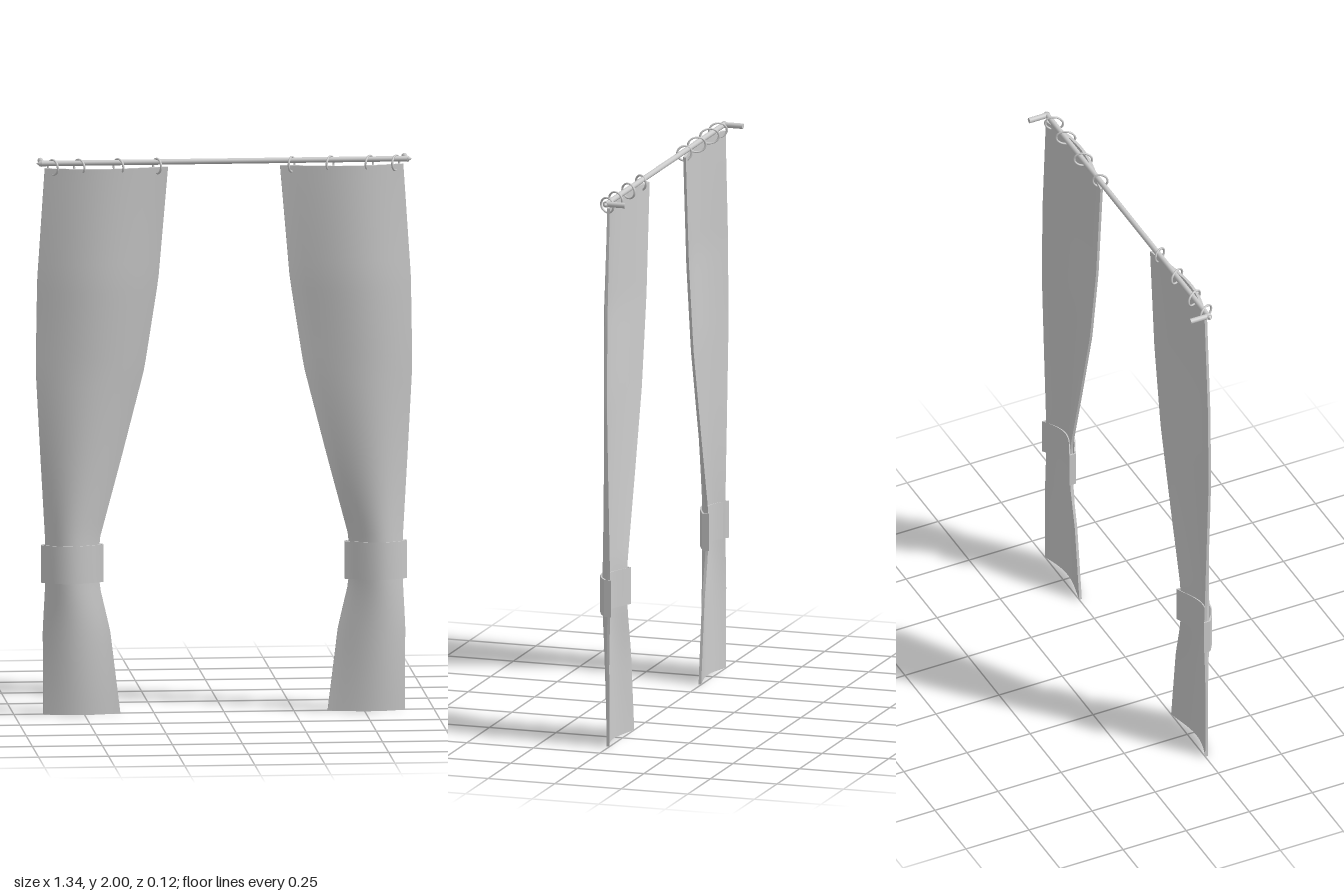
import * as THREE from 'three';
import { toCreasedNormals } from 'three/addons/utils/BufferGeometryUtils.js';

const grey = new THREE.MeshStandardMaterial({ color: 0xcccccc, side: THREE.DoubleSide });

// Drape outline: height, inner x, outer x, forward bow
const OUTLINE = [
  [0, 0.37, 0.645, 0.027], [0.3, 0.407, 0.647, 0.036], [0.47, 0.447, 0.638, 0.043],
  [0.62, 0.447, 0.638, 0.043], [0.92, 0.367, 0.655, 0.042], [1.24, 0.285, 0.672, 0.042],
  [1.56, 0.235, 0.667, 0.05], [1.965, 0.2, 0.64, 0.04],
];

function mesh(name, geometry, x = 0, y = 0, z = 0) {
  const m = new THREE.Mesh(geometry, grey);
  m.name = name;
  m.position.set(x, y, z);
  return m;
}

// Interpolated outline row at height y
function rowAt(y) {
  let i = 0;
  while (i < OUTLINE.length - 2 && y > OUTLINE[i + 1][0]) i++;
  const a = OUTLINE[i], b = OUTLINE[i + 1];
  const k = (y - a[0]) / (b[0] - a[0]);
  return a.map((v, j) => v + (b[j] - v) * k);
}

// Bow across the width, t = 0 at the inner edge and 1 at the outer edge
const bowAt = (t) => Math.sin(Math.PI * Math.pow(t, 1.15));

// Thin bowed cloth panel, shaped from a subdivided box
function drape(side) {
  const g = new THREE.BoxGeometry(1, 1, 1, 16, 40, 1);
  const p = g.attributes.position;
  for (let i = 0; i < p.count; i++) {
    const u = p.getX(i) + 0.5;
    const t = side > 0 ? u : 1 - u;
    const y = (p.getY(i) + 0.5) * 1.965;
    const [, inner, outer, bow] = rowAt(y);
    p.setXYZ(i, side * (inner + (outer - inner) * t), y, 0.005 + bow * bowAt(t) + p.getZ(i) * 0.01);
  }
  g.computeVertexNormals();
  return g;
}

// Closed outline following the bowed cloth, used for the tieback
function bandLoop(side, inner, outer, half) {
  const front = [], back = [];
  for (let i = 0; i <= 16; i++) {
    const t = i / 16;
    const x = side * (inner + (outer - inner) * t);
    const z = 0.004 + 0.043 * bowAt(t);
    front.push(new THREE.Vector2(x, z + half));
    back.unshift(new THREE.Vector2(x, z - half));
  }
  return [...front, ...back];
}

function tieback(side) {
  const shape = new THREE.Shape(bandLoop(side, 0.431, 0.653, 0.013));
  shape.holes.push(new THREE.Path(bandLoop(side, 0.436, 0.648, 0.009)));
  const g = new THREE.ExtrudeGeometry(shape, { depth: 0.135, bevelEnabled: false });
  g.rotateX(Math.PI / 2).translate(0, 0.61, 0);
  return toCreasedNormals(g, 0.7);
}

export function createModel() {
  const group = new THREE.Group();
  group.name = 'curtains';

  // Rod
  const rod = new THREE.CylinderGeometry(0.01, 0.01, 1.32, 16).rotateZ(Math.PI / 2);
  group.add(mesh('rod', rod, 0, 1.983, 0.01));

  for (const side of [1, -1]) {
    const half = new THREE.Group();
    half.name = side > 0 ? 'leftCurtain' : 'rightCurtain';

    half.add(mesh('drape', drape(side)), mesh('tieback', tieback(side)));

    // Pointed rod end and wall bracket
    const tip = new THREE.ConeGeometry(0.012, 0.018, 16).rotateZ(-side * Math.PI / 2);
    half.add(mesh('rodTip', tip, side * 0.662, 1.983, 0.01));
    const bracket = new THREE.CylinderGeometry(0.01, 0.01, 0.072, 16).rotateX(Math.PI / 2);
    half.add(mesh('wallBracket', bracket, side * 0.65, 1.983, -0.026));

    // Slanted rings around the rod
    for (const [x, radius] of [[0.24, 0.026], [0.378, 0.032], [0.518, 0.034], [0.612, 0.032]]) {
      const ring = mesh('ring', new THREE.TorusGeometry(radius, 0.004, 8, 28), side * x, 1.97, 0.019);
      ring.scale.y = 0.03 / (radius + 0.004);
      ring.rotation.y = side * 1.08;
      half.add(ring);
    }
    group.add(half);
  }
  return group;
}
